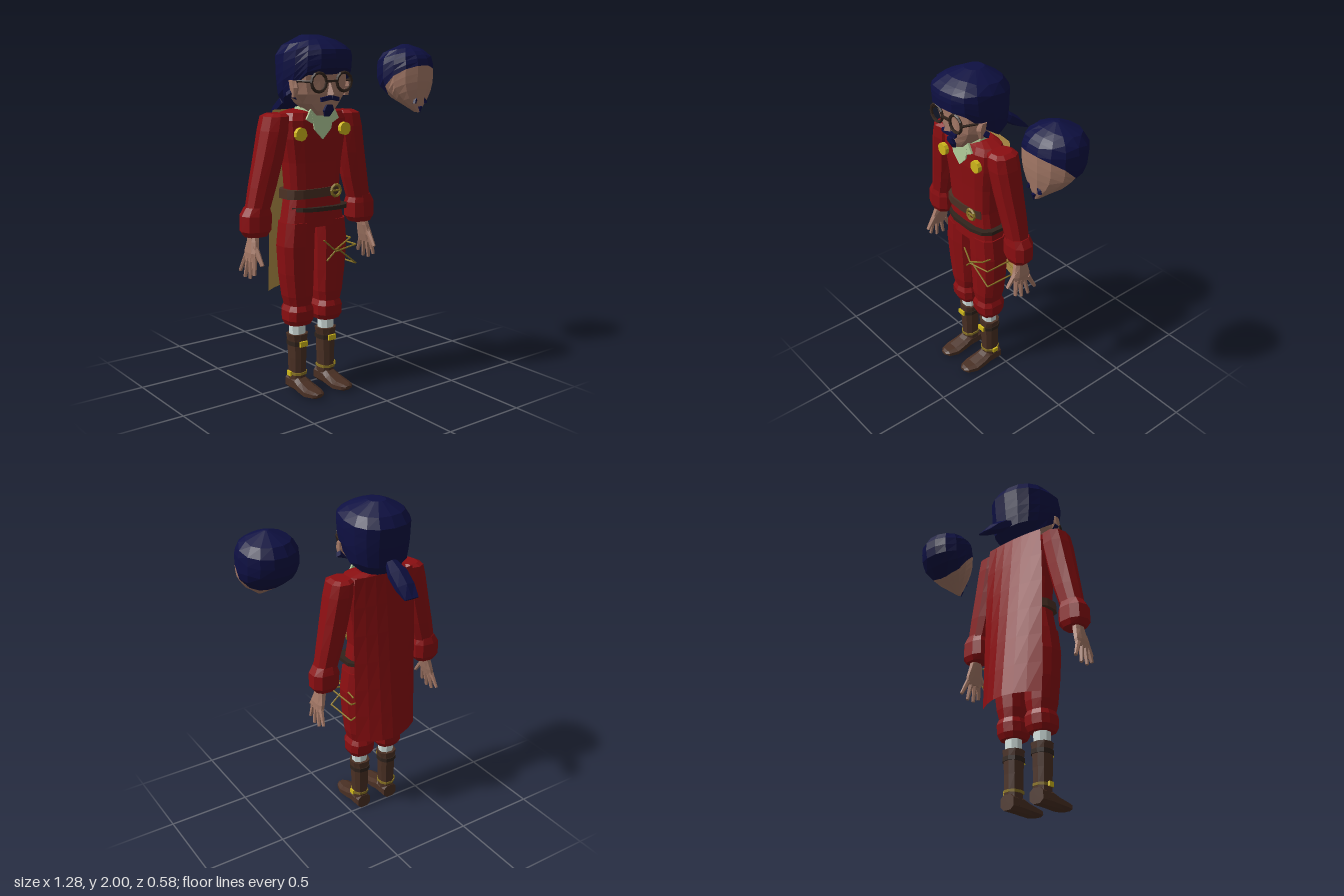
import * as THREE from 'three';

const mat = (name, color) => Object.assign(new THREE.MeshStandardMaterial({ color }), { name });
const red = mat('red cloth', 0x8a0e11), navy = mat('navy hair', 0x0e1042), skin = mat('skin', 0xa67a68),
  brown = mat('brown leather', 0x4a3024), dark = mat('dark leather', 0x30231c), yellow = mat('bright gold', 0xd0b81c),
  lining = mat('cape lining', 0xb59148), green = mat('pale green collar', 0xb4cf9c), white = mat('white stocking', 0xd4e2df),
  chainGold = mat('old gold', 0x8a7425);

// Flat facets from split faces
function flat(geo) {
  const g = geo.index ? geo.toNonIndexed() : geo;
  g.computeVertexNormals();
  return g;
}

// Closed skin over rows of points, bottom row first, with fan caps
function skinRows(rows) {
  const n = rows[0].length, pos = [];
  const tri = (a, b, c) => pos.push(...a, ...b, ...c);
  const mid = (r) => [0, 1, 2].map((k) => r.reduce((s, p) => s + p[k], 0) / n);
  const lo = mid(rows[0]), top = rows[rows.length - 1], hi = mid(top);
  for (let j = 0; j < n; j++) {
    const k = (j + 1) % n;
    for (let i = 0; i < rows.length - 1; i++) {
      const a = rows[i][j], b = rows[i][k], c = rows[i + 1][j], d = rows[i + 1][k];
      tri(a, c, b);
      tri(b, c, d);
    }
    tri(lo, rows[0][j], rows[0][k]);
    tri(hi, top[k], top[j]);
  }
  const g = new THREE.BufferGeometry();
  g.setAttribute('position', new THREE.Float32BufferAttribute(pos, 3));
  g.computeVertexNormals();
  return g;
}

const round = (v, p) => Math.sign(v) * Math.abs(v) ** p;

// Loft of rounded sections [cx, y, cz, rx, rz]
function loft(secs, n = 10, p = 0.8, side = 1) {
  return skinRows(secs.map(([cx, y, cz, rx, rz]) => Array.from({ length: n }, (_, j) => {
    const t = ((j + 0.5) / n) * Math.PI * 2;
    return [cx * side + rx * round(Math.cos(t), p), y, cz + rz * round(Math.sin(t), p)];
  })));
}

// Piecewise linear reading of a table keyed by its first column
function read(table, x) {
  let i = 0;
  while (i < table.length - 2 && x > table[i + 1][0]) i++;
  const a = table[i], b = table[i + 1], f = THREE.MathUtils.clamp((x - a[0]) / (b[0] - a[0]), 0, 1);
  return a.map((v, k) => v + (b[k] - v) * f);
}

// Head shell between two height rules; profile rows are [y, halfWidth, front z, back z]
function shell(profile, low, high, n = 16, steps = 7, p = 0.85) {
  return skinRows(Array.from({ length: steps + 1 }, (_, i) => Array.from({ length: n }, (_, j) => {
    const t = (j / n) * Math.PI * 2, s = Math.sin(t);
    const y = low(s) + (high(s) - low(s)) * (i / steps);
    const [, w, f, b] = read(profile, y);
    return [w * round(Math.cos(t), p), y, (f + b) / 2 + ((f - b) / 2) * round(s, p)];
  })));
}

function add(parent, name, geo, material, x = 0, y = 0, z = 0, rx = 0, ry = 0, rz = 0) {
  const m = new THREE.Mesh(flat(geo), material);
  m.name = name;
  m.position.set(x, y, z);
  m.rotation.set(rx, ry, rz);
  parent.add(m);
  return m;
}
const box = (w, h, d) => new THREE.BoxGeometry(w, h, d);

// Straight rod between two points
function rod(parent, name, a, b, r, material, r2 = r) {
  const A = new THREE.Vector3(...a), B = new THREE.Vector3(...b), d = B.clone().sub(A);
  const m = add(parent, name, new THREE.CylinderGeometry(r2, r, d.length(), 6), material);
  m.position.copy(A).add(B).multiplyScalar(0.5);
  m.quaternion.setFromUnitVectors(new THREE.Vector3(0, 1, 0), d.normalize());
}
const strand = (g, name, pts, r, m) => pts.slice(1).forEach((p, i) => rod(g, name, pts[i], p, r, m));

function buildHead(g) {
  add(g, 'neck', loft([[0, 1.5, 0.08, 0.065, 0.06], [0, 1.64, 0.08, 0.065, 0.06]], 8), skin);
  add(g, 'face', loft([[0, 1.575, 0.155, 0.045, 0.05], [0, 1.6, 0.13, 0.075, 0.085], [0, 1.64, 0.11, 0.12, 0.11],
    [0, 1.69, 0.11, 0.16, 0.118], [0, 1.76, 0.11, 0.175, 0.12], [0, 1.86, 0.11, 0.175, 0.13]], 12), skin);
  const profile = [[1.6, 0.12, 0.16, -0.05], [1.66, 0.172, 0.2, -0.1], [1.76, 0.193, 0.25, -0.112], [1.82, 0.195, 0.285, -0.118],
    [1.89, 0.195, 0.29, -0.125], [1.93, 0.185, 0.28, -0.1], [1.975, 0.12, 0.2, -0.06], [2, 0.05, 0.11, 0.0]];
  const line = [[-1, 1.6], [-0.3, 1.63], [0.1, 1.68], [0.45, 1.74], [0.75, 1.82], [1, 1.83]];
  add(g, 'hair', shell(profile, (s) => read(line, s)[1], () => 2), navy);
  add(g, 'ponytail', loft([[0, 0, 0, 0.035, 0.02], [0, 0.08, 0, 0.062, 0.034], [0, 0.17, 0, 0.062, 0.03], [0, 0.25, 0, 0.05, 0.006]], 6),
    navy, 0, 1.685, -0.09, -2.2);
  add(g, 'nose', new THREE.ConeGeometry(0.026, 0.08, 4), skin, 0, 1.725, 0.238, -0.15);
  add(g, 'goatee', loft([[0, 1.57, 0.205, 0.016, 0.012], [0, 1.605, 0.218, 0.035, 0.02], [0, 1.635, 0.228, 0.02, 0.01]], 6), navy);
  add(g, 'glassesBridge', box(0.07, 0.012, 0.012), dark, 0, 1.76, 0.255);
  for (const s of [-1, 1]) {
    add(g, 'ear', loft([[0, -0.05, 0, 0.012, 0.015], [0, 0.0, 0, 0.02, 0.03], [0, 0.04, -0.01, 0.022, 0.025]], 6), skin, s * 0.172, 1.725, 0.15);
    add(g, 'sideLock', new THREE.ConeGeometry(0.022, 0.07, 4), navy, s * 0.168, 1.68, 0.13, 0, 0, s * 2.2);
    add(g, 'moustache', box(0.06, 0.022, 0.02), navy, s * 0.028, 1.668, 0.238, 0, s * 0.25, s * -0.2);
    add(g, 'glassesRim', new THREE.TorusGeometry(0.05, 0.009, 5, 12), dark, s * 0.083, 1.755, 0.25);
    rod(g, 'glassesArm', [s * 0.135, 1.76, 0.25], [s * 0.18, 1.76, 0.12], 0.007, dark);
  }
}

function buildTorso(g) {
  add(g, 'tunic', loft([[0, 0.96, 0.062, 0.2, 0.097], [0, 1.06, 0.062, 0.182, 0.093], [0, 1.16, 0.062, 0.165, 0.09],
    [0, 1.32, 0.063, 0.178, 0.095], [0, 1.45, 0.065, 0.2, 0.1], [0, 1.55, 0.065, 0.208, 0.098], [0, 1.59, 0.06, 0.19, 0.085],
    [0, 1.605, 0.05, 0.12, 0.06]], 14, 0.65), red);
  add(g, 'collar', loft([[0, 1.55, 0.075, 0.105, 0.09], [0, 1.615, 0.07, 0.1, 0.075]], 10), green);
  const bib = new THREE.Shape([[-0.075, 1.59], [-0.055, 1.5], [0, 1.445], [0.055, 1.5], [0.075, 1.59]].map((p) => new THREE.Vector2(...p)));
  add(g, 'collarFront', new THREE.ExtrudeGeometry(bib, { depth: 0.009, bevelEnabled: false }), green, 0, 0, 0.163);
  for (const s of [-1, 1]) {
    add(g, 'capeButton', new THREE.CylinderGeometry(0.036, 0.036, 0.025, 10), yellow, s * 0.147, s > 0 ? 1.495 : 1.48, 0.17, Math.PI / 2);
    add(g, 'collarWing', box(0.05, 0.07, 0.012), green, s * 0.07, 1.575, 0.165, 0, 0, s * 0.5);
  }
  // Belts
  add(g, 'belt', loft([[0, 1.125, 0.062, 0.178, 0.1], [0, 1.175, 0.062, 0.174, 0.1]], 14, 0.65), brown, 0, 0, 0, 0, 0, 0.015);
  add(g, 'buckle', new THREE.TorusGeometry(0.032, 0.009, 5, 10), chainGold, 0.09, 1.155, 0.17);
  rod(g, 'bucklePin', [0.06, 1.155, 0.17], [0.12, 1.155, 0.17], 0.006, chainGold);
  add(g, 'lowBelt', loft([[0, 1.05, 0.066, 0.192, 0.122], [0, 1.072, 0.066, 0.192, 0.122]], 12, 0.7), dark, 0, 0, 0, 0, 0, -0.02);
  // Hip chains
  strand(g, 'chain', [[0.01, 0.88, 0.165], [0.085, 0.81, 0.178], [0.232, 0.83, 0.17], [0.232, 0.83, -0.05], [0.12, 0.82, -0.045]], 0.005, chainGold);
  strand(g, 'chain', [[0.03, 0.76, 0.165], [0.095, 0.825, 0.178], [0.232, 0.72, 0.17], [0.232, 0.72, -0.05], [0.12, 0.76, -0.045]], 0.005, chainGold);
  strand(g, 'chain', [[0.08, 0.82, 0.178], [0.19, 0.875, 0.172], [0.215, 0.87, -0.05]], 0.005, chainGold);
}

// Cape sheet, bowed backwards and flaring towards the hem
function buildCape(g) {
  for (const [name, m, turn, off] of [['cape', red, Math.PI, 0], ['capeLining', lining, 0, 0.005]]) {
    const geo = new THREE.PlaneGeometry(2, 1, 6, 6).rotateY(turn), p = geo.attributes.position;
    for (let i = 0; i < p.count; i++) {
      const u = p.getX(i), f = 0.5 - p.getY(i), bow = 1 - Math.abs(u) ** 1.8;
      p.setXYZ(i, u * (0.195 + 0.015 * Math.min(1, f * 4)), 1.6 - 1.025 * f, -0.032 - 0.04 * f - bow * (0.015 + 0.07 * f) + off);
    }
    add(g, name, geo, m);
  }
}

function buildArm(g, s) {
  add(g, 'sleeve', loft([[0.345, 1.08, 0.045, 0.068, 0.062], [0.315, 1.2, 0.048, 0.076, 0.07], [0.28, 1.35, 0.055, 0.08, 0.08],
    [0.25, 1.5, 0.06, 0.08, 0.088], [0.238, 1.575, 0.06, 0.072, 0.085], [0.23, 1.59, 0.06, 0.05, 0.06]], 9, 0.8, s), red);
  add(g, 'cuff', loft([[0.358, 0.935, 0.042, 0.066, 0.058], [0.358, 0.965, 0.042, 0.088, 0.072], [0.356, 1.05, 0.042, 0.088, 0.072],
    [0.35, 1.095, 0.045, 0.066, 0.062]], 9, 0.8, s), red);
  add(g, 'hand', loft([[0.4, 0.805, 0.05, 0.014, 0.058], [0.393, 0.85, 0.053, 0.022, 0.06], [0.38, 0.91, 0.05, 0.026, 0.045],
    [0.372, 0.96, 0.045, 0.028, 0.032]], 8, 0.8, s), skin);
  [-0.035, 0.015, 0.065, 0.11].forEach((z, i) =>
    rod(g, 'finger', [s * 0.4, 0.825, 0.01 + i * 0.028], [s * 0.412, 0.71 + (i === 0 || i === 3 ? 0.025 : 0), z], 0.016, skin, 0.01));
  rod(g, 'thumb', [s * 0.388, 0.885, 0.08], [s * 0.385, 0.79, 0.148], 0.018, skin, 0.011);
}

function buildLeg(g, s) {
  add(g, 'breeches', loft([[0.1, 0.4, 0.06, 0.07, 0.07], [0.1, 0.43, 0.06, 0.086, 0.085], [0.1, 0.485, 0.06, 0.086, 0.09],
    [0.1, 0.515, 0.06, 0.072, 0.078], [0.102, 0.57, 0.06, 0.086, 0.086], [0.108, 0.7, 0.06, 0.098, 0.092],
    [0.112, 0.86, 0.062, 0.105, 0.097], [0.102, 0.99, 0.062, 0.1, 0.096]], 10, 0.75, s), red);
  add(g, 'stocking', loft([[0.1, 0.28, 0.058, 0.045, 0.042], [0.1, 0.42, 0.058, 0.05, 0.045]], 8, 0.9, s), white);
  add(g, 'boot', loft([[0.1, 0.03, 0.05, 0.05, 0.05], [0.1, 0.1, 0.054, 0.046, 0.053], [0.1, 0.2, 0.056, 0.05, 0.054],
    [0.1, 0.29, 0.056, 0.052, 0.056], [0.1, 0.34, 0.056, 0.062, 0.058]], 9, 0.85, s), brown);
  add(g, 'foot', loft([[0.1, 0, -0.045, 0.048, 0.045], [0.1, 0.09, -0.045, 0.05, 0.045], [0.1, 0.13, -0.035, 0.055, 0.035],
    [0.1, 0.2, -0.025, 0.06, 0.025], [0.1, 0.255, -0.027, 0.042, 0.02], [0.1, 0.275, -0.03, 0.02, 0.009]], 8, 0.75, s)
    .rotateX(Math.PI / 2), brown);
  add(g, 'bootStrap', loft([[0.1, 0.275, 0.056, 0.058, 0.062], [0.1, 0.3, 0.056, 0.058, 0.062]], 9, 0.85, s), dark);
  add(g, 'ankleStrap', loft([[0.1, 0.1, 0.055, 0.052, 0.058], [0.1, 0.115, 0.055, 0.052, 0.058]], 9, 0.85, s), chainGold);
  add(g, 'strapBuckle', box(0.05, 0.03, 0.012), yellow, s * 0.1, 0.288, 0.12);
  add(g, 'ankleBuckle', box(0.012, 0.026, 0.035), yellow, s * 0.155, 0.108, 0.055);
}

// Separate spare head beside the figure
function buildSpareHead(g) {
  const profile = [[1.56, 0.012, 0.205, 0.17], [1.6, 0.06, 0.215, 0.1], [1.64, 0.112, 0.222, 0.03], [1.7, 0.158, 0.232, -0.05],
    [1.75, 0.168, 0.238, -0.08], [1.83, 0.166, 0.24, -0.086], [1.88, 0.155, 0.225, -0.075], [1.92, 0.105, 0.175, -0.02], [1.95, 0.015, 0.09, 0.06]];
  const line = [[-1, 1.63], [-0.4, 1.66], [0, 1.71], [0.5, 1.78], [1, 1.83]], hairline = (s) => read(line, s)[1];
  add(g, 'spareFace', shell(profile, () => 1.56, hairline, 14, 6, 0.95), skin);
  add(g, 'spareHair', shell(profile, hairline, () => 1.95, 14, 6, 0.95), navy);
  add(g, 'spareMoustache', new THREE.TorusGeometry(0.045, 0.011, 5, 8, Math.PI * 0.9), navy, 0, 1.605, 0.215, -0.15, 0, Math.PI * 0.05);
  add(g, 'spareGoatee', new THREE.ConeGeometry(0.014, 0.04, 5), navy, 0, 1.575, 0.215, Math.PI);
}

export function createModel() {
  const model = new THREE.Group();
  const figure = new THREE.Group(), spare = new THREE.Group();
  figure.name = 'figure';
  spare.name = 'spareHead';
  figure.position.x = -0.195;
  spare.position.x = 0.472;
  buildHead(figure);
  buildTorso(figure);
  buildCape(figure);
  for (const s of [-1, 1]) {
    buildArm(figure, s);
    buildLeg(figure, s);
  }
  buildSpareHead(spare);
  model.add(figure, spare);
  return model;
}
